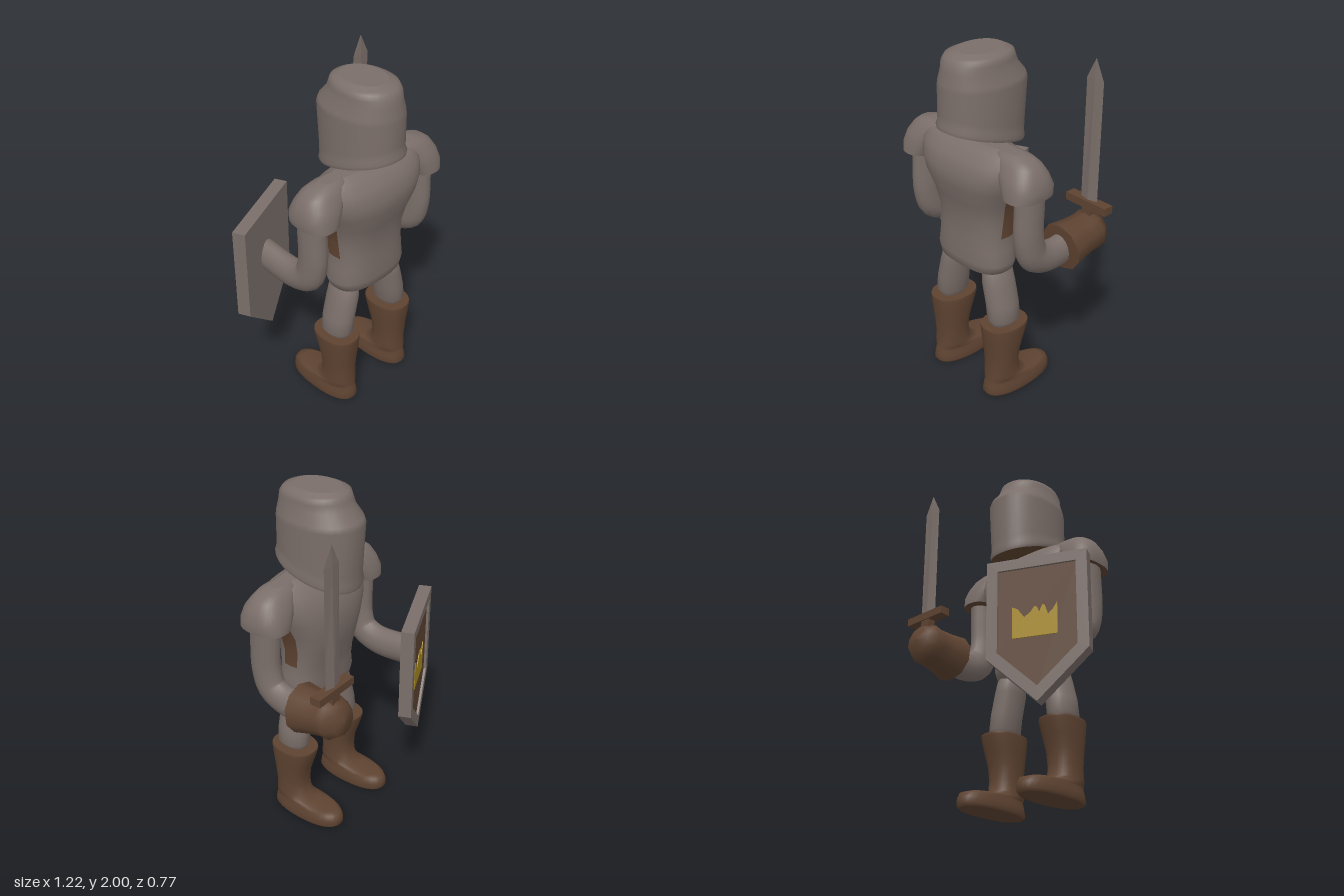
import * as THREE from 'three';

const CX = 0.055; // body symmetry plane
const mat = (name, color) => Object.assign(new THREE.MeshStandardMaterial({ color }), { name });

// Stacks rounded cross-sections [y, x0, x1, z0, z1]; p squares the outline, tilt slopes the lowest rows.
// accent(row, segment) picks the second material; row -1 is the underside.
function loft(rows, { p = 2, n = 32, tilt = () => 0, accent = () => false } = {}) {
  const pos = [], idx = [[], []];
  const pw = v => Math.sign(v) * Math.abs(v) ** (2 / p);
  const ring = ([y, x0, x1, z0, z1], r) => {
    for (let i = 0; i < n; i++) {
      const a = (i / n) * Math.PI * 2;
      const z = (z0 + z1) / 2 + Math.abs(z0 - z1) / 2 * pw(Math.sin(a));
      pos.push((x0 + x1) / 2 + Math.abs(x1 - x0) / 2 * pw(Math.cos(a)), y + tilt(r) * (z - 0.13), z);
    }
  };
  rows.forEach(ring);
  for (let r = 0; r < rows.length - 1; r++) {
    for (let i = 0; i < n; i++) {
      const a = r * n + i, b = r * n + (i + 1) % n;
      idx[accent(r, i) ? 1 : 0].push(a, a + n, b, b, a + n, b + n);
    }
  }
  for (const r of [0, rows.length - 1]) {
    const start = pos.length / 3, [y, x0, x1, z0, z1] = rows[r];
    ring(rows[r], r);
    const c = pos.length / 3, cz = (z0 + z1) / 2;
    pos.push((x0 + x1) / 2, y + tilt(r) * (cz - 0.13), cz);
    for (let i = 0; i < n; i++) {
      const a = start + i, b = start + (i + 1) % n;
      idx[r === 0 && accent(-1, i) ? 1 : 0].push(...(r === 0 ? [c, a, b] : [c, b, a]));
    }
  }
  const g = new THREE.BufferGeometry();
  g.setAttribute('position', new THREE.Float32BufferAttribute(pos, 3));
  g.setIndex([...idx[0], ...idx[1]]);
  g.addGroup(0, idx[0].length, 0);
  g.addGroup(idx[0].length, idx[1].length, 1);
  g.computeVertexNormals();
  return g;
}

// Rows given as [y, halfWidth, zBack, zFront] around a centre line
const sym = (rows, cx = 0) => rows.map(([y, h, zb, zf]) => [y, cx - h, cx + h, zf, zb]);

function outline(points) {
  return new THREE.Shape(points.map(([x, y]) => new THREE.Vector2(x, y)));
}

export function createModel() {
  const model = new THREE.Group();
  const steel = mat('steel', 0x7a6e69);
  const leather = mat('leather', 0x5e4331);
  const gold = mat('gold', 0xa98b1c);
  const add = (name, geo, material, parent = model) => {
    const m = new THREE.Mesh(geo, material);
    m.name = name;
    parent.add(m);
    return m;
  };

  // Helmet: lower rim slopes down toward the face, leather underside
  const slope = [0.28, 0.28, 0.28, 0.24];
  add('helmet', loft(sym([
    [1.53, 0.188, 0.388, -0.11], [1.55, 0.195, 0.39, -0.115], [1.575, 0.187, 0.38, -0.113],
    [1.62, 0.186, 0.38, -0.115], [1.82, 0.19, 0.378, -0.132], [1.85, 0.186, 0.374, -0.12],
    [1.91, 0.162, 0.362, -0.07], [1.95, 0.16, 0.355, -0.055], [1.978, 0.152, 0.335, -0.045],
    [1.985, 0.135, 0.31, -0.03], [2.0, 0.105, 0.275, 0.0],
  ], CX), { p: 2.15, tilt: r => slope[r] ?? 0, accent: r => r === -1 }), [steel, leather]);

  // Torso with leather side panels
  add('torso', loft(sym([
    [0.775, 0.19, 0.28, 0.07], [0.79, 0.235, 0.305, 0.04], [0.84, 0.25, 0.312, 0.03],
    [0.92, 0.237, 0.31, 0.028], [1.0, 0.233, 0.31, 0.015], [1.1, 0.24, 0.312, -0.01],
    [1.2, 0.26, 0.335, -0.03], [1.3, 0.305, 0.365, -0.03], [1.38, 0.335, 0.37, -0.015],
    [1.46, 0.34, 0.345, 0.02], [1.51, 0.32, 0.29, 0.07], [1.533, 0.25, 0.24, 0.12],
  ], CX), {
    p: 2.6, accent: (r, i) => r >= 4 && r <= 7 && [0, 15, 16, 31].includes(i),
  }), [steel, leather]);

  for (const s of [1, -1]) {
    const side = new THREE.Group();
    side.name = s > 0 ? 'leftLimbs' : 'rightLimbs';
    side.position.x = CX;
    model.add(side);
    const mirror = rows => rows.map(([y, a, b, z0, z1]) => [y, s * a, s * b, z0, z1]);

    // Shoulder cap, open side in leather
    add('shoulder', loft(mirror([
      [1.325, 0.3, 0.497, 0.04, 0.32], [1.38, 0.27, 0.505, 0.042, 0.315], [1.44, 0.24, 0.485, 0.06, 0.3],
      [1.49, 0.21, 0.455, 0.085, 0.27], [1.52, 0.19, 0.415, 0.11, 0.25], [1.535, 0.21, 0.34, 0.14, 0.22],
    ]), { p: 2.5, accent: r => r === -1 }), [steel, leather], side);

    // Bent arm
    const endZ = s > 0 ? -0.14 : -0.205;
    const path = new THREE.CatmullRomCurve3([
      [1.42, 0.17], [1.25, 0.178], [1.07, 0.178], [0.965, 0.145], [0.925, 0.08], [0.91, 0], [0.925, endZ],
    ].map(([y, z]) => new THREE.Vector3(0, y, z)));
    const arm = add('arm', new THREE.TubeGeometry(path, 28, 0.091, 16), steel, side);
    arm.position.x = s * 0.408;
    arm.scale.x = 0.74;
    const end = add('armEnd', new THREE.CircleGeometry(0.091, 16), leather, arm);
    end.position.set(0, 0.925, endZ);
    end.rotation.y = Math.PI;

    // Thigh
    add('leg', loft(mirror([
      [0.44, 0.17, 0.26, 0.1, 0.24], [0.49, 0.135, 0.297, 0.07, 0.27], [0.58, 0.125, 0.285, 0.07, 0.272],
      [0.7, 0.097, 0.255, 0.07, 0.272], [0.77, 0.09, 0.235, 0.075, 0.265], [0.81, 0.11, 0.21, 0.1, 0.24],
    ]), { n: 20 }), steel, side);

    // Boot
    add('boot', loft(sym([
      [0, 0.095, 0.295, -0.155], [0.015, 0.105, 0.305, -0.17], [0.05, 0.1, 0.3, -0.17],
      [0.08, 0.094, 0.293, -0.155], [0.093, 0.09, 0.29, -0.115], [0.1, 0.089, 0.288, 0.02],
      [0.13, 0.087, 0.285, 0.075], [0.2, 0.086, 0.281, 0.085], [0.28, 0.093, 0.286, 0.078],
      [0.36, 0.102, 0.296, 0.05], [0.44, 0.11, 0.305, 0.024], [0.455, 0.108, 0.303, 0.025],
    ], s * 0.215), { p: 2.3 }), leather, side);
  }

  // Gauntlet around the sword hand
  const glove = add('gauntlet', new THREE.LatheGeometry([
    [0, 0], [0.135, 0], [0.14, 0.005], [0.122, 0.1], [0.114, 0.18], [0.12, 0.23], [0.085, 0.285], [0, 0.3],
  ].map(([r, y]) => new THREE.Vector2(r, y)), 10), leather);
  glove.position.set(0.467, 0.925, -0.062);
  glove.rotation.x = -Math.PI / 2 + 0.12;

  // Sword
  const sword = new THREE.Group();
  sword.name = 'sword';
  sword.position.set(0.468, 0, -0.276);
  model.add(sword);
  add('guard', new THREE.BoxGeometry(0.28, 0.045, 0.062), leather, sword).position.y = 1.122;
  add('grip', new THREE.BoxGeometry(0.06, 0.2, 0.05), leather, sword).position.y = 1.02;
  // Diamond-section blade, tapering to the tip
  const blade = [[1.14, 0.057, 0.014], [1.83, 0.057, 0.006], [1.945, 0.001, 0.001]];
  const corners = blade.map(([y, w, t]) => [[w, y, 0], [0, y, t], [-w, y, 0], [0, y, -t]]);
  const tris = [];
  for (let r = 0; r < 2; r++) {
    for (let i = 0; i < 4; i++) {
      const j = (i + 1) % 4, [lo, hi] = [corners[r], corners[r + 1]];
      tris.push(...lo[i], ...hi[i], ...lo[j], ...lo[j], ...hi[i], ...hi[j]);
    }
  }
  const bladeGeo = new THREE.BufferGeometry();
  bladeGeo.setAttribute('position', new THREE.Float32BufferAttribute(tris, 3));
  bladeGeo.computeVertexNormals();
  add('blade', bladeGeo, steel, sword);

  // Shield: local -z is its face
  const shield = new THREE.Group();
  shield.name = 'shield';
  shield.position.set(-0.345, 0, -0.2375);
  shield.rotation.y = 0.419;
  model.add(shield);
  const rim = [[-0.276, 1.22], [-0.276, 0.66], [0, 0.4], [0.276, 0.66], [0.276, 1.22]];
  const inner = [[-0.215, 1.16], [-0.215, 0.686], [0, 0.483], [0.215, 0.686], [0.215, 1.16]];
  const plate = (name, shape, z, depth, m) => {
    add(name, new THREE.ExtrudeGeometry(shape, { depth, bevelEnabled: false }), m, shield).position.z = z;
  };
  plate('shieldBack', outline(rim), -0.018, 0.055, steel);
  const frame = outline(rim);
  frame.holes.push(outline(inner));
  plate('shieldFrame', frame, -0.037, 0.019, steel);
  plate('shieldPanel', outline(inner), -0.023, 0.005, leather);
  // Crown emblem
  plate('crown', outline([
    [-0.11, 0.76], [0.135, 0.76], [0.135, 0.94], [0.105, 0.925], [0.07, 0.875], [0.035, 0.9], [0.015, 0.93],
    [0, 0.925], [-0.012, 0.895], [-0.03, 0.935], [-0.042, 0.93], [-0.06, 0.875], [-0.085, 0.9], [-0.11, 0.94],
  ]), -0.028, 0.005, gold);

  return model;
}
